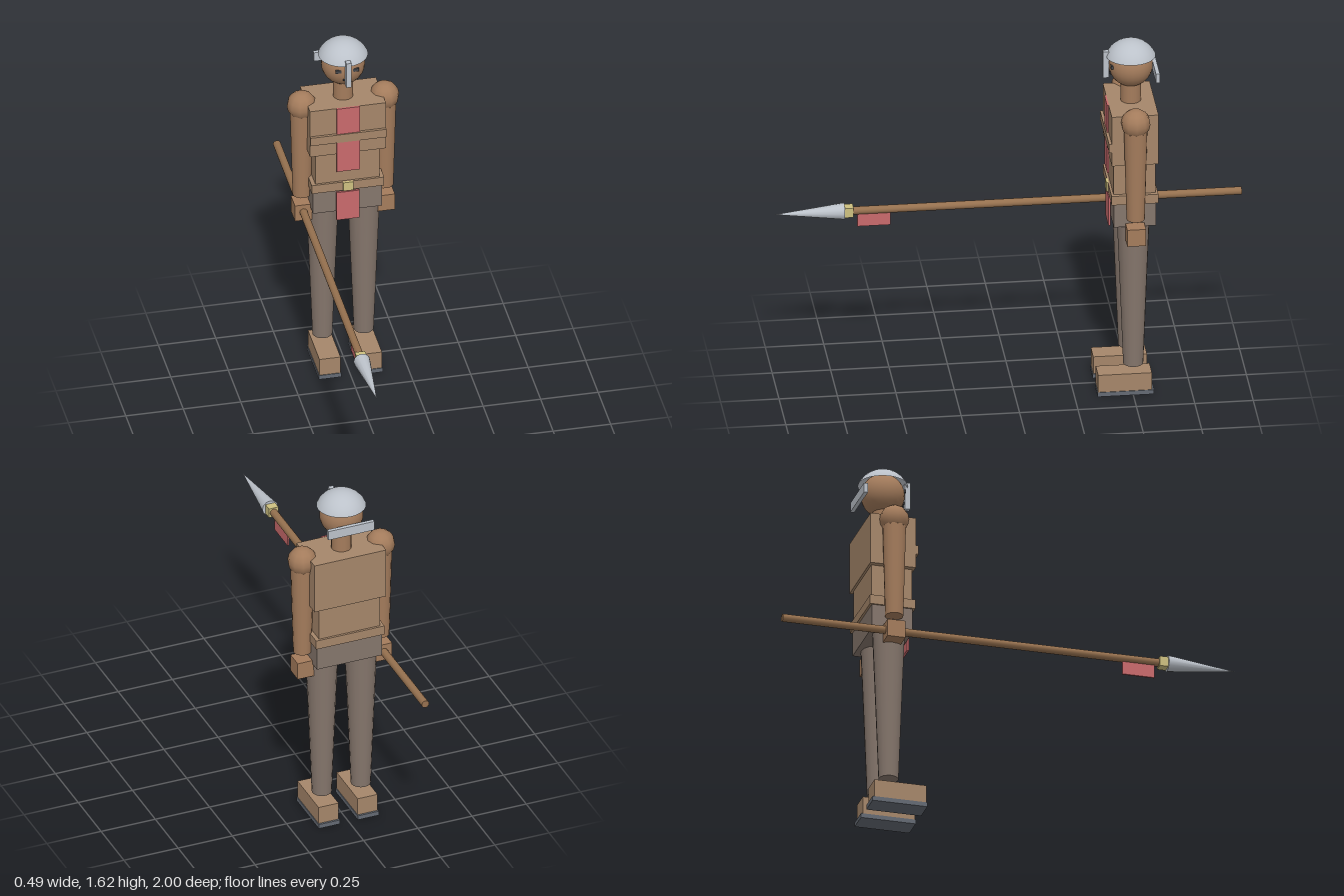
import * as THREE from 'three';

const mat = (name, color, extra = {}) => {
  const m = new THREE.MeshStandardMaterial({ color, ...extra });
  m.name = name;
  return m;
};

export function createModel() {
  const model = new THREE.Group();
  model.name = 'spearman';
  const skin = mat('skin', 0xa47c5c);
  const leather = mat('leather', 0xa5866a);
  const trousers = mat('trousers', 0x85766c);
  const red = mat('red cloth', 0xc96a6c);
  const brass = mat('brass', 0xcdc080);
  const steel = mat('steel', 0xbcc2ca, { side: THREE.DoubleSide });
  const iron = mat('dark iron', 0x646a73);
  const wood = mat('wood', 0x96714f);
  const dark = mat('dark features', 0x45464a);

  const body = new THREE.Group();
  body.name = 'body';
  body.position.z = -0.505;
  model.add(body);

  const add = (parent, name, geo, m, x, y, z) => {
    const mesh = new THREE.Mesh(geo, m);
    mesh.name = name;
    mesh.position.set(x, y, z);
    parent.add(mesh);
    return mesh;
  };
  const box = (parent, name, m, w, h, d, x, y, z) =>
    add(parent, name, new THREE.BoxGeometry(w, h, d), m, x, y, z);
  // Tapered limb between two heights
  const limb = (name, m, rTop, rBottom, top, bottom, x) =>
    add(body, name, new THREE.CylinderGeometry(rTop, rBottom, top - bottom, 16), m, x, (top + bottom) / 2, 0);

  // Torso and clothing
  box(body, 'pelvis', trousers, 0.3, 0.115, 0.18, 0, 0.862, 0);
  box(body, 'belt', leather, 0.315, 0.042, 0.2, 0, 0.934, 0);
  box(body, 'beltBuckle', brass, 0.044, 0.042, 0.01, 0, 0.934, 0.102);
  box(body, 'waist', leather, 0.28, 0.15, 0.18, 0, 1.028, 0);
  box(body, 'chest', leather, 0.33, 0.232, 0.2, 0, 1.218, 0);
  box(body, 'chestStrap', leather, 0.33, 0.04, 0.014, 0, 1.186, 0.105);
  box(body, 'tabard', red, 0.1, 0.32, 0.008, 0, 1.175, 0.103);
  box(body, 'loincloth', red, 0.1, 0.14, 0.009, 0, 0.835, 0.097);

  // Head
  limb('neck', skin, 0.044, 0.044, 1.45, 1.33, 0);
  add(body, 'head', new THREE.SphereGeometry(0.094, 24, 16), skin, 0, 1.5, 0);
  box(body, 'mouth', dark, 0.036, 0.009, 0.008, 0, 1.469, 0.087);

  // Helmet: open spherical cap, nose guard and neck guard
  add(body, 'helmet', new THREE.SphereGeometry(0.117, 24, 8, 0, Math.PI * 2, 0, 1.155), steel, 0, 1.498, 0);
  box(body, 'noseGuard', steel, 0.022, 0.122, 0.024, 0, 1.508, 0.107);
  box(body, 'neckGuard', steel, 0.212, 0.043, 0.017, 0, 1.478, -0.104);

  // Paired parts
  for (const s of [-1, 1]) {
    const side = s > 0 ? 'left' : 'right';
    box(body, side + 'Eye', dark, 0.026, 0.014, 0.009, s * 0.038, 1.511, 0.085);

    add(body, side + 'Shoulder', new THREE.SphereGeometry(0.064, 10, 8), skin, s * 0.18, 1.308, 0);
    limb(side + 'UpperArm', skin, 0.051, 0.045, 1.3, 1.07, s * 0.18);
    limb(side + 'Forearm', skin, 0.045, 0.039, 1.07, 0.855, s * 0.18);
    box(body, side + 'Hand', skin, 0.075, 0.078, 0.08, s * 0.18, 0.782, 0);

    limb(side + 'Thigh', trousers, 0.07, 0.056, 0.82, 0.47, s * 0.09);
    limb(side + 'Shin', trousers, 0.056, 0.043, 0.47, 0.13, s * 0.09);
    box(body, side + 'Boot', leather, 0.092, 0.08, 0.23, s * 0.09, 0.06, 0.04);
    box(body, side + 'Sole', iron, 0.098, 0.02, 0.242, s * 0.09, 0.01, 0.037);
  }

  // Spear held level in the right hand
  const spear = new THREE.Group();
  spear.name = 'spear';
  spear.position.set(-0.18, 0.785, 0);
  model.add(spear);
  add(spear, 'shaft', new THREE.CylinderGeometry(0.017, 0.017, 1.67, 12), wood, 0, 0, -0.165).rotation.x = Math.PI / 2;
  box(spear, 'collar', brass, 0.044, 0.044, 0.042, 0, 0, 0.683);
  add(spear, 'spearhead', new THREE.ConeGeometry(0.036, 0.3, 12), steel, 0, 0, 0.85).rotation.x = Math.PI / 2;
  box(spear, 'pennant', red, 0.008, 0.058, 0.142, 0, -0.045, 0.573);

  return model;
}
